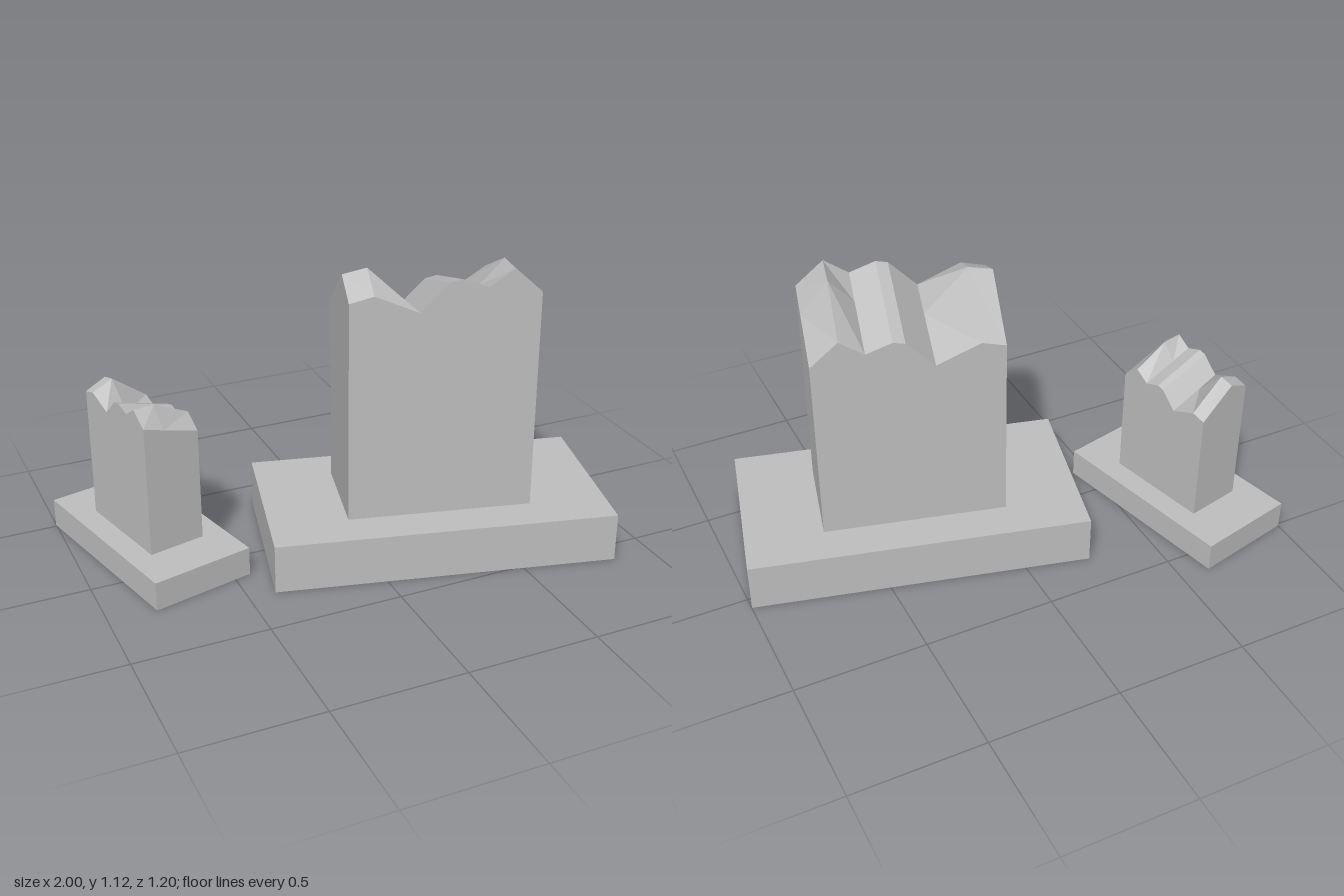
import * as THREE from 'three';

const BASE = { w: 1.277, d: 0.664, h: 0.186 };
const W = 0.69, D = 0.367;

// Broken rim: [position along the length, height at the back, extra lift of the middle row]
const RIM = [
  [0, 0.915, 0.103], [0.13, 0.937, 0.1], [0.365, 0.865, 0], [0.515, 0.97, 0],
  [0.58, 0.98, 0], [0.72, 0.945, 0], [0.85, 1.006, 0.037], [1, 0.915, 0],
];
const ROWS = [0, 0.63, 1]; // back, middle, front
const TILT = 0.115;        // the front edge is higher than the back

// Flat-shaded geometry from four-cornered faces
function quadGeometry(quads) {
  const pos = [];
  for (const [a, b, c, d] of quads) pos.push(...a, ...b, ...c, ...a, ...c, ...d);
  const geo = new THREE.BufferGeometry();
  geo.setAttribute('position', new THREE.Float32BufferAttribute(pos, 3));
  geo.computeVertexNormals();
  return geo;
}

// Open-bottomed plinth walls
function plinthWalls() {
  const { w, d, h } = BASE;
  const c = [[-w / 2, d / 2], [w / 2, d / 2], [w / 2, -d / 2], [-w / 2, -d / 2]];
  return quadGeometry(c.map(([x, z], i) => {
    const [x2, z2] = c[(i + 1) % 4];
    return [[x, 0, z], [x2, 0, z2], [x2, h, z2], [x, h, z]];
  }));
}

// Plinth top with an opening under the block
function plinthTop() {
  const rect = (T, w, d) => new T().setFromPoints([
    new THREE.Vector2(-w / 2, -d / 2), new THREE.Vector2(w / 2, -d / 2),
    new THREE.Vector2(w / 2, d / 2), new THREE.Vector2(-w / 2, d / 2),
  ]);
  const shape = rect(THREE.Shape, BASE.w, BASE.d);
  shape.holes.push(rect(THREE.Path, W, D));
  return new THREE.ShapeGeometry(shape).rotateX(-Math.PI / 2).translate(0, BASE.h, 0);
}

// Upright block with a jagged, tilted top
function brokenBlock() {
  const top = (i, r) => {
    const [s, y, lift] = RIM[i];
    return [(s - 0.5) * W, y + ROWS[r] * TILT + (r === 1 ? lift : 0), (ROWS[r] - 0.5) * D];
  };
  const low = (p, y = BASE.h) => [p[0], y, p[2]];
  const wall = (a, b) => [low(a), low(b), b, a];
  const quads = [];
  const last = RIM.length - 1;
  for (let i = 0; i < last; i++) {
    for (let r = 0; r < 2; r++) {
      quads.push([top(i, r), top(i, r + 1), top(i + 1, r + 1), top(i + 1, r)]);
    }
    quads.push(wall(top(i, 2), top(i + 1, 2)), wall(top(i + 1, 0), top(i, 0)));
  }
  for (let r = 0; r < 2; r++) {
    quads.push(wall(top(0, r), top(0, r + 1)), wall(top(last, r + 1), top(last, r)));
  }
  // recessed underside
  quads.push([top(0, 0), top(last, 0), top(last, 2), top(0, 2)].map((p) => low(p, BASE.h + 0.01)));
  return quadGeometry(quads);
}

export function createModel() {
  const stone = new THREE.MeshStandardMaterial({ color: 0xc0c0c0 });
  stone.name = 'stoneGrey';
  stone.side = THREE.DoubleSide;
  stone.flatShading = true;

  const parts = { plinthWalls: plinthWalls(), plinthTop: plinthTop(), brokenBlock: brokenBlock() };

  // The same ruin twice, at two sizes
  const ruin = (name, x, z, turn, scale) => {
    const g = new THREE.Group();
    g.name = name;
    for (const [part, geo] of Object.entries(parts)) {
      const mesh = new THREE.Mesh(geo, stone);
      mesh.name = part;
      g.add(mesh);
    }
    g.position.set(x, 0, z);
    g.rotation.y = turn;
    g.scale.setScalar(scale);
    return g;
  };

  const model = new THREE.Group();
  model.name = 'brokenPillars';
  model.add(
    ruin('largePillar', 0.3, 0.121, -0.241, 1),
    ruin('smallPillar', -0.72, -0.187, -1.333, 0.595),
  );
  return model;
}
